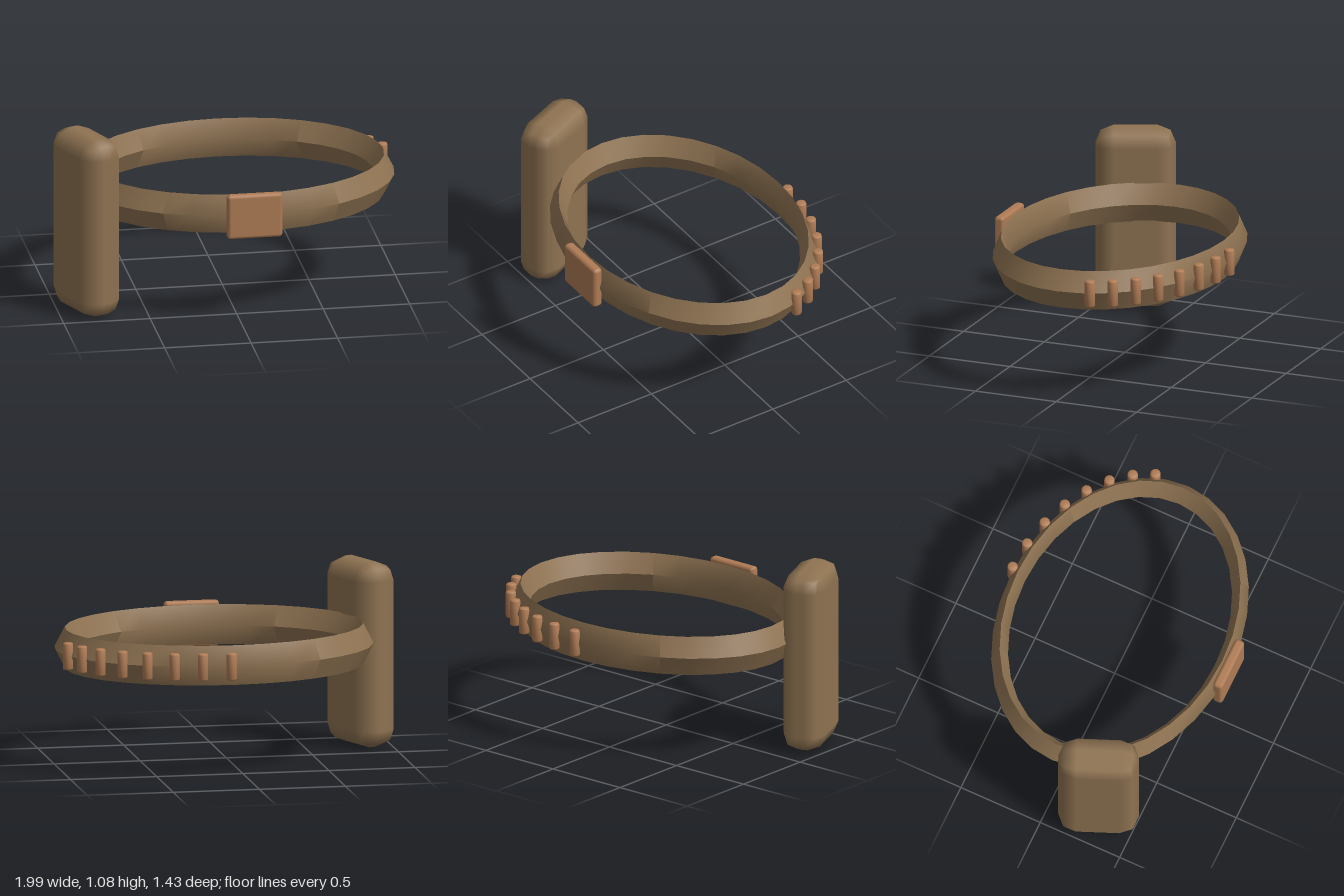
import * as THREE from 'three';
import { toCreasedNormals } from 'three/addons/utils/BufferGeometryUtils.js';
import { RoundedBoxGeometry } from 'three/addons/geometries/RoundedBoxGeometry.js';

export function createModel() {
  const group = new THREE.Group();
  group.name = 'beltWithPouch';

  const leather = new THREE.MeshStandardMaterial({ name: 'brown leather', color: 0x8f7352 });
  const copper = new THREE.MeshStandardMaterial({ name: 'copper', color: 0xb07c55 });

  const cx = 0.072, cy = 0.658; // belt centre
  const add = (name, geometry, material, x, y, z) => {
    const mesh = new THREE.Mesh(geometry, material);
    mesh.name = name;
    mesh.position.set(x, y, z);
    group.add(mesh);
    return mesh;
  };

  // Oval belt band with a diamond cross-section
  const band = new THREE.TorusGeometry(0.858, 0.06, 4, 32);
  band.rotateX(Math.PI / 2);
  band.scale(1, 1.92, 0.75);
  add('beltBand', toCreasedNormals(band, Math.PI / 4), leather, cx, cy, 0);

  // Buckle plate at the front
  add('buckle', new RoundedBoxGeometry(0.32, 0.265, 0.06, 1, 0.02), copper, cx, cy, 0.685);

  // Tall chamfered pouch on the right hip
  const pouch = add('pouch', new RoundedBoxGeometry(0.25, 1.075, 0.46, 1, 0.105), leather, -0.835, 0.5375, 0.29);
  pouch.rotation.y = 0.395;

  // Row of small cartridges around the back left of the belt
  const r = 0.03, h = 0.078, b = 0.009;
  const profile = [[0, -h], [r - b, -h], [r - b * 0.3, -h + b * 0.3], [r, -h + b],
    [r, h - b], [r - b * 0.3, h - b * 0.3], [r - b, h], [0, h]]
    .map(([x, y]) => new THREE.Vector2(x, y));
  const cartridge = toCreasedNormals(new THREE.LatheGeometry(profile, 12), 0.85);
  for (let i = 0; i < 8; i++) {
    const a = 0.28 + i * 0.18;
    add('cartridge' + (i + 1), cartridge, copper, cx + 0.92 * Math.cos(a), cy, -0.69 * Math.sin(a));
  }

  return group;
}
